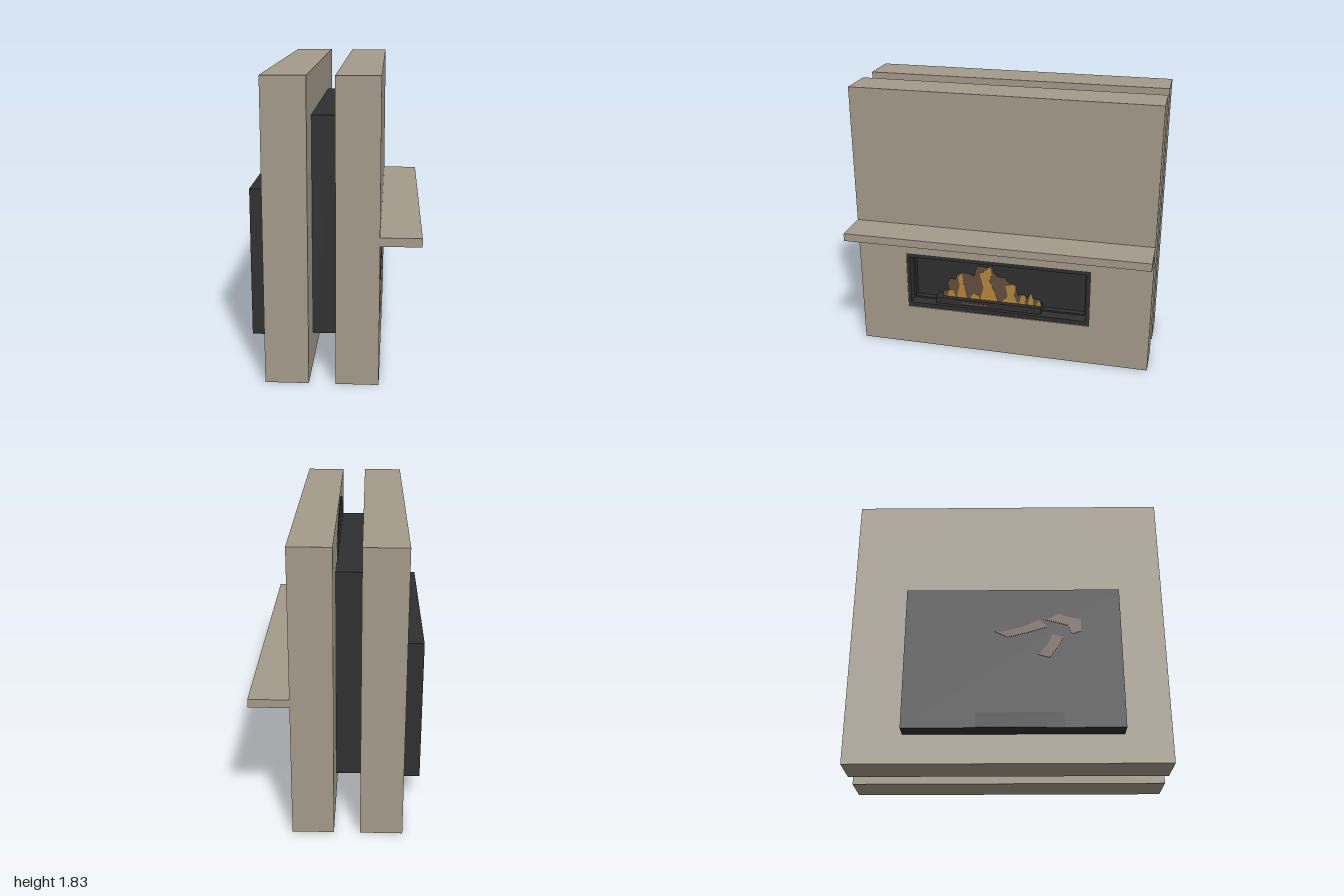
import * as THREE from 'three';

const mat = (name, color) => {
  const m = new THREE.MeshStandardMaterial({ color });
  m.name = name;
  return m;
};

export function createModel() {
  const group = new THREE.Group();
  const stone = mat('warm stone', 0xa39a8a);
  const black = mat('black metal', 0x2f2f2f);
  const amber = mat('amber flame', 0xb5863a);
  const brown = mat('brown flame', 0x634e3d);

  const add = (name, geometry, material) => {
    const mesh = new THREE.Mesh(geometry, material);
    mesh.name = name;
    group.add(mesh);
    return mesh;
  };
  // box given by its limits on each axis
  const box = (name, material, [x0, x1], [y0, y1], [z0, z1]) => {
    const mesh = add(name, new THREE.BoxGeometry(x1 - x0, y1 - y0, z1 - z0), material);
    mesh.position.set((x0 + x1) / 2, (y0 + y1) / 2, (z0 + z1) / 2);
    return mesh;
  };
  const toShape = (pts) => new THREE.Shape(pts.map(([u, y]) => new THREE.Vector2(u, y)));
  const rect = (u0, u1, y0, y1) => [[u0, y0], [u1, y0], [u1, y1], [u0, y1]];
  // shape drawn in (u = -z, y), extruded along x from x0 to x1
  const slab = (name, material, shape, x0, x1) => {
    const g = new THREE.ExtrudeGeometry(shape, { depth: x1 - x0, bevelEnabled: false, curveSegments: 24 });
    g.rotateY(Math.PI / 2);
    g.translate(x0, 0, 0);
    return add(name, g, material);
  };
  const withHole = (outer, hole) => {
    const s = toShape(outer);
    s.holes.push(toShape(hole));
    return s;
  };

  // walls and mantel
  const opening = rect(-0.665, 0.6, 0.285, 0.69);
  box('backWall', stone, [-0.4, -0.14], [0, 1.825], [-1, 1]);
  slab('frontWall', stone, withHole(rect(-1, 1, 0, 1.825), opening), 0.02, 0.275);
  box('mantelShelf', stone, [0.275, 0.517], [0.855, 0.907], [-1, 1]);

  // firebox between and behind the walls
  box('fireboxCore', black, [-0.14, 0.02], [0.2, 1.565], [-0.64, 0.71]);
  box('rearHousing', black, [-0.518, -0.4], [0.185, 1.115], [-0.64, 0.71]);
  box('rearAccessPanel', black, [-0.523, -0.517], [0.186, 0.28], [-0.19, 0.34]);
  const arch = new THREE.Shape();
  arch.absellipse(-0.12, 1.5, 0.6, 0.3, 0, Math.PI, false, 0);
  slab('sootArch', black, arch, 0.014, 0.0205);

  // recessed hearth with stepped surround
  box('hearthBack', black, [0.02, 0.15], [0.285, 0.69], [-0.6, 0.665]);
  slab('hearthFrame', black, withHole(opening, rect(-0.645, 0.57, 0.315, 0.66)), 0.15, 0.268);
  slab('hearthInnerTrim', black,
    withHole(rect(-0.645, 0.57, 0.315, 0.66), rect(-0.635, 0.555, 0.325, 0.64)), 0.15, 0.19);

  // burner tray
  box('burnerTray', black, [0.17, 0.25], [0.32, 0.365], [-0.265, 0.47]);
  box('burnerSlot', brown, [0.249, 0.253], [0.336, 0.346], [0.1, 0.29]);

  // flames: a brown silhouette with amber tongues on both faces
  slab('flameSilhouette', brown, toShape([
    [-0.43, 0.365], [-0.43, 0.39], [-0.415, 0.41], [-0.385, 0.415], [-0.397, 0.465], [-0.375, 0.505],
    [-0.34, 0.5], [-0.33, 0.535], [-0.3, 0.56], [-0.245, 0.555], [-0.205, 0.54], [-0.195, 0.585],
    [-0.175, 0.62], [-0.12, 0.615], [-0.075, 0.625], [-0.07, 0.58], [-0.04, 0.555], [0.01, 0.55],
    [0.04, 0.515], [0.085, 0.5], [0.1, 0.43], [0.14, 0.44], [0.165, 0.41], [0.19, 0.46], [0.205, 0.415],
    [0.25, 0.415], [0.265, 0.365],
  ]), 0.211, 0.217);
  const tongues = [
    [[-0.4, 0.365], [-0.385, 0.41], [-0.355, 0.42], [-0.335, 0.365]],
    [[-0.33, 0.365], [-0.31, 0.46], [-0.32, 0.52], [-0.29, 0.555], [-0.28, 0.47], [-0.255, 0.365]],
    [[-0.24, 0.365], [-0.21, 0.41], [-0.17, 0.39], [-0.165, 0.365]],
    [[-0.165, 0.365], [-0.14, 0.46], [-0.165, 0.56], [-0.13, 0.585], [-0.09, 0.625], [-0.08, 0.57],
      [-0.1, 0.52], [-0.06, 0.43], [-0.04, 0.365]],
    [[-0.02, 0.365], [0.03, 0.41], [0.015, 0.49], [0.06, 0.51], [0.085, 0.5], [0.075, 0.43], [0.1, 0.365]],
    [[0.11, 0.365], [0.125, 0.435], [0.155, 0.43], [0.15, 0.365]],
    [[0.17, 0.365], [0.19, 0.46], [0.205, 0.42], [0.205, 0.365]],
    [[0.22, 0.365], [0.25, 0.41], [0.265, 0.365]],
  ];
  tongues.forEach((t, i) => slab(`flameTongue${i + 1}`, amber, toShape(t), 0.209, 0.219));

  // flame-coloured marks on the rear housing
  const marks = [
    [[0.08, 0.82], [0.02, 0.82], [-0.12, 0.86], [-0.2, 0.9], [-0.25, 0.85], [-0.12, 0.81], [0.0, 0.78]],
    [[-0.24, 0.9], [-0.32, 0.94], [-0.38, 0.92], [-0.46, 0.9], [-0.46, 0.82], [-0.4, 0.8], [-0.38, 0.86]],
    [[-0.28, 0.8], [-0.35, 0.78], [-0.31, 0.71], [-0.26, 0.64], [-0.19, 0.66], [-0.25, 0.73]],
  ];
  marks.forEach((m, i) => slab(`rearMark${i + 1}`, brown, toShape(m), -0.521, -0.516));

  return group;
}
